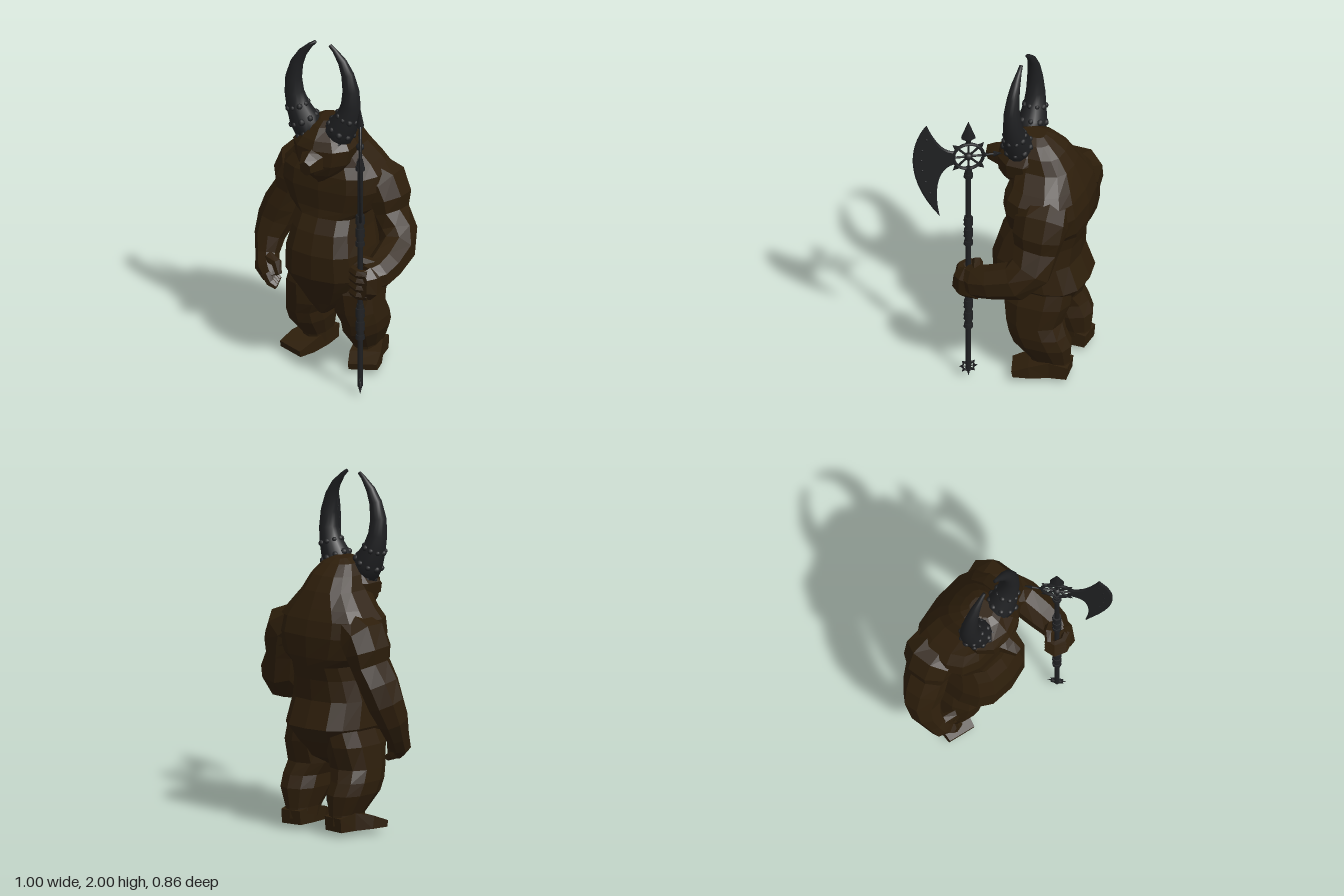
import * as THREE from 'three';

const mat = (name, color) => {
  const m = new THREE.MeshStandardMaterial({ color });
  m.name = name;
  return m;
};
const V = (x, y, z) => new THREE.Vector3(x, y, z);

export function createModel() {
  const fur = mat('dark brown fur', 0x2d1e0b);
  const horn = mat('black horn', 0x1e1f21);
  const iron = mat('black iron', 0x1f2022);
  const model = new THREE.Group();

  const add = (parent, name, geo, material, x = 0, y = 0, z = 0) => {
    const mesh = new THREE.Mesh(geo, material);
    mesh.name = name;
    mesh.position.set(x, y, z);
    parent.add(mesh);
    return mesh;
  };

  // Skin a list of closed rings, capping both ends; faceted unless smooth
  function skin(rings, smooth = false) {
    const n = rings[0].length, idx = [];
    const pts = rings.flat();
    rings.slice(1).forEach((_, i) => {
      for (let j = 0; j < n; j++) {
        const a = i * n + j, b = i * n + (j + 1) % n;
        idx.push(a, a + n, b, b, a + n, b + n);
      }
    });
    const top = (rings.length - 1) * n;
    for (let j = 1; j < n - 1; j++) idx.push(0, j, j + 1, top, top + j + 1, top + j);
    let geo = new THREE.BufferGeometry().setFromPoints(pts);
    geo.setIndex(idx);
    if (!smooth) geo = geo.toNonIndexed();
    geo.computeVertexNormals();
    return geo;
  }

  // Horizontal sections, bottom to top: [y, centreX, halfWidth, zFront, zBack]
  function stack(sections, n, power) {
    const soft = v => Math.sign(v) * Math.pow(Math.abs(v), power);
    return skin(sections.map(([y, cx, w, zf, zb]) => Array.from({ length: n }, (_, j) => {
      const a = (j / n) * Math.PI * 2 + Math.PI / 2;
      return V(cx + w * soft(Math.cos(a)), y, (zf + zb) / 2 + (zf - zb) / 2 * soft(Math.sin(a)));
    })));
  }

  // Sections square to a path: [x, y, z, radiusAcross, radiusDeep]
  function frameAt(path, i, ref) {
    const p = path.map(q => V(q[0], q[1], q[2]));
    const t = p[Math.min(i + 1, p.length - 1)].clone().sub(p[Math.max(i - 1, 0)]).normalize();
    const u = ref.clone().addScaledVector(t, -ref.dot(t)).normalize();
    return { c: p[i], u, v: u.clone().cross(t) };
  }
  function limb(path, n = 8, ref = V(1, 0, 0), smooth = false) {
    return skin(path.map((q, i) => {
      const { c, u, v } = frameAt(path, i, ref);
      return Array.from({ length: n }, (_, j) => {
        const a = ((j + 0.5) / n) * Math.PI * 2;
        return c.clone().addScaledVector(u, q[3] * Math.cos(a)).addScaledVector(v, q[4] * Math.sin(a));
      });
    }), smooth);
  }

  // Body and hunched back
  add(model, 'torso', stack([
    [0.35, 0, 0.03, 0.0, -0.18], [0.42, 0, 0.12, 0.03, -0.31], [0.52, 0, 0.20, 0.075, -0.38],
    [0.60, 0, 0.25, 0.11, -0.43], [0.75, 0, 0.237, 0.115, -0.375], [0.87, 0, 0.21, 0.08, -0.385],
    [0.95, 0, 0.20, 0.035, -0.41], [1.0, 0, 0.26, 0.025, -0.42], [1.12, 0, 0.31, 0.035, -0.425],
    [1.21, 0, 0.30, 0.025, -0.405], [1.27, 0, 0.25, 0.0, -0.38], [1.36, 0, 0.17, 0.0, -0.34],
    [1.44, 0, 0.14, 0.0, -0.285], [1.5, 0, 0.10, -0.02, -0.215], [1.525, 0, 0.05, -0.06, -0.17],
  ], 14, 0.72), fur);

  // Head with brow, jaw and muzzle
  add(model, 'head', stack([
    [1.17, 0, 0.03, 0.03, -0.12], [1.23, 0, 0.12, 0.075, -0.2], [1.30, 0, 0.17, 0.10, -0.2],
    [1.39, 0, 0.187, 0.10, -0.2], [1.44, 0, 0.15, 0.075, -0.2], [1.50, 0, 0.08, 0.02, -0.18],
    [1.525, 0, 0.04, -0.03, -0.13],
  ], 10, 0.95), fur);
  add(model, 'muzzle', limb([
    [-0.005, 1.325, 0.05, 0.09, 0.085], [-0.005, 1.32, 0.12, 0.06, 0.068], [-0.005, 1.31, 0.17, 0.037, 0.048],
  ], 6), fur);

  // Legs, feet and horns, mirrored
  for (const s of [1, -1]) {
    const side = s > 0 ? 'left' : 'right';
    add(model, side + 'Leg', stack([
      [0.06, 0.16 * s, 0.07, -0.16, -0.375], [0.12, 0.16 * s, 0.072, -0.14, -0.375],
      [0.23, 0.17 * s, 0.11, -0.045, -0.385], [0.30, 0.175 * s, 0.113, -0.02, -0.355],
      [0.37, 0.155 * s, 0.128, 0.0, -0.325], [0.50, 0.15 * s, 0.12, 0.02, -0.37],
      [0.62, 0.12 * s, 0.11, 0.0, -0.38],
    ], 10, 0.8), fur);
    add(model, side + 'Foot', limb([
      [0.155 * s, 0.068, -0.37, 0.09, 0.056], [0.165 * s, 0.078, -0.26, 0.105, 0.07],
      [0.20 * s, 0.064, -0.15, 0.125, 0.052], [0.23 * s, 0.046, -0.06, 0.115, 0.026],
    ], 4), fur);

    const path = [
      [0.085, 1.44, -0.045, 0.077, 0.088], [0.12, 1.50, -0.042, 0.082, 0.085],
      [0.16, 1.58, -0.04, 0.064, 0.066], [0.18, 1.66, -0.037, 0.054, 0.055],
      [0.182, 1.75, -0.033, 0.045, 0.047], [0.162, 1.84, -0.033, 0.035, 0.037],
      [0.127, 1.91, -0.035, 0.026, 0.026], [0.077, 1.968, -0.037, 0.014, 0.014],
      [0.046, 1.994, -0.037, 0.010, 0.010],
    ].map(([x, ...rest]) => [x * s - 0.011, ...rest]);
    add(model, side + 'Horn', limb(path, 14, V(0, 0, 1), true), horn);

    // Knobbly crust around the horn base
    for (let i = 0; i < 3; i++) {
      const { c, u, v } = frameAt(path, i, V(0, 0, 1));
      for (let j = 0; j < 9; j++) {
        const a = (j + (i % 2) / 2) / 9 * Math.PI * 2, r = path[i][3] * 0.93;
        const p = c.clone().addScaledVector(u, r * Math.cos(a)).addScaledVector(v, r * Math.sin(a));
        add(model, side + 'HornKnob', new THREE.IcosahedronGeometry(0.018 - i * 0.002 + (j % 3) * 0.002, 1),
          horn, p.x, p.y, p.z);
      }
    }
  }

  // Shoulder and upper arm shared by both arms
  const upperArm = s => [
    [0.17, 1.175, -0.24, 0.10, 0.135], [0.27, 1.12, -0.245, 0.13, 0.155],
    [0.30, 1.05, -0.24, 0.118, 0.15], [0.315, 0.97, -0.235, 0.092, 0.132], [0.365, 0.86, -0.22, 0.105, 0.125],
  ].map(([x, ...rest]) => [x * s, ...rest]);

  // Left arm, bent forward to grip the shaft
  add(model, 'leftArm', limb([
    ...upperArm(1), [0.405, 0.785, -0.14, 0.102, 0.115],
    [0.41, 0.745, 0.0, 0.098, 0.1], [0.405, 0.72, 0.09, 0.085, 0.095], [0.38, 0.715, 0.15, 0.065, 0.08],
  ]), fur);
  add(model, 'leftPalm', limb([
    [0.42, 0.70, 0.08, 0.055, 0.09], [0.405, 0.695, 0.16, 0.06, 0.1], [0.385, 0.70, 0.21, 0.04, 0.08],
  ], 6), fur);
  for (let i = 0; i < 4; i++) {
    const y = 0.63 + i * 0.043;
    add(model, 'leftFinger', limb([
      [0.40, y, 0.185, 0.026, 0.028], [0.35, y, 0.20, 0.026, 0.026],
      [0.30, y, 0.175, 0.025, 0.024], [0.295, y, 0.12, 0.02, 0.02],
    ], 6, V(0, 1, 0)), fur);
  }
  add(model, 'leftThumb', limb([
    [0.39, 0.78, 0.09, 0.035, 0.035], [0.33, 0.80, 0.11, 0.03, 0.03], [0.295, 0.77, 0.14, 0.02, 0.02],
  ], 6, V(0, 1, 0)), fur);

  // Right arm, hanging
  add(model, 'rightArm', limb([
    ...upperArm(-1), [-0.40, 0.76, -0.205, 0.105, 0.11],
    [-0.42, 0.66, -0.165, 0.085, 0.095], [-0.41, 0.57, -0.12, 0.065, 0.075],
    [-0.39, 0.51, -0.085, 0.07, 0.065], [-0.35, 0.46, -0.065, 0.05, 0.055],
  ]), fur);
  for (let i = 0; i < 4; i++) {
    const z = -0.11 + i * 0.03, x = 0.01 * i;
    add(model, 'rightFinger', limb([
      [-0.395 + x, 0.50, z, 0.024, 0.03], [-0.365 + x, 0.45, z, 0.024, 0.028],
      [-0.325 + x, 0.43, z, 0.016, 0.018],
    ], 6, V(0, 0, 1)), fur);
  }
  add(model, 'rightThumb', limb([
    [-0.38, 0.57, -0.08, 0.035, 0.035], [-0.315, 0.56, -0.055, 0.03, 0.032], [-0.295, 0.50, -0.045, 0.02, 0.02],
  ], 6, V(0, 0, 1)), fur);

  // Pole axe, turned about its shaft
  const axe = new THREE.Group();
  axe.name = 'poleAxe';
  axe.position.set(0.34, 0, 0.16);
  axe.rotation.y = -Math.PI / 3;
  model.add(axe);
  add(axe, 'shaft', new THREE.CylinderGeometry(0.015, 0.015, 1.4, 10), iron, 0, 0.75, 0);

  // Banded grips and collar
  for (const [y0, count] of [[0.355, 8], [0.93, 7], [1.395, 2]]) {
    for (let i = 0; i < count; i++) {
      const r = i % 3 === 1 ? 0.021 : 0.027;
      add(axe, 'gripBand', new THREE.CylinderGeometry(r * 0.92, r, 0.025, 8), iron, 0, y0 + i * 0.027, 0);
    }
  }

  // Spoked wheel with flat arrowhead points
  function wheel(name, y, radius, tube, reach) {
    const g = new THREE.Group();
    g.name = name;
    g.position.y = y;
    axe.add(g);
    add(g, 'rim', new THREE.TorusGeometry(radius, tube, 6, 24), iron);
    add(g, 'hub', new THREE.SphereGeometry(radius * 0.28, 10, 8), iron);
    for (let i = 0; i < 8; i++) {
      const arm = new THREE.Group();
      arm.rotation.z = i * Math.PI / 4;
      g.add(arm);
      add(arm, 'spoke', new THREE.CylinderGeometry(tube * 0.65, tube * 0.65, reach, 6), iron, 0, reach / 2, 0);
      add(arm, 'arrowhead', new THREE.ConeGeometry(tube * 1.8, tube * 3.5, 4), iron, 0, reach, 0).scale.z = 0.5;
    }
  }
  wheel('headWheel', 1.525, 0.084, 0.010, 0.108);
  wheel('buttWheel', 0.07, 0.032, 0.005, 0.045);
  add(axe, 'buttSpike', new THREE.ConeGeometry(0.012, 0.05, 6), iron, 0, 0.025, 0).rotation.x = Math.PI;
  const longPoint = new THREE.Group();
  longPoint.name = 'longPoint';
  longPoint.position.y = 1.525;
  longPoint.rotation.z = Math.PI / 2;
  axe.add(longPoint);
  add(longPoint, 'longSpoke', new THREE.CylinderGeometry(0.006, 0.006, 0.08, 6), iron, 0, 0.125, 0);
  add(longPoint, 'longArrow', new THREE.ConeGeometry(0.022, 0.05, 4), iron, 0, 0.165, 0).scale.z = 0.5;
  add(axe, 'topSpike', new THREE.LatheGeometry([[0.001, 1.61], [0.014, 1.62], [0.016, 1.635], [0.045, 1.655], [0.001, 1.765]]
    .map(p => new THREE.Vector2(...p)), 6), iron).scale.z = 0.5;

  // Crescent blade with rivets
  const shape = new THREE.Shape();
  shape.moveTo(0.08, 1.57);
  shape.quadraticCurveTo(0.16, 1.57, 0.235, 1.765);
  shape.bezierCurveTo(0.33, 1.65, 0.37, 1.42, 0.16, 1.13);
  shape.bezierCurveTo(0.19, 1.27, 0.19, 1.46, 0.08, 1.48);
  const blade = new THREE.ExtrudeGeometry(shape, {
    depth: 0.006, bevelSize: 0.008, bevelOffset: -0.008, bevelThickness: 0.005, bevelSegments: 1, curveSegments: 14,
  });
  add(axe, 'blade', blade, iron, 0, 0, -0.003);
  for (const [x, y] of [[0.235, 1.67], [0.26, 1.6], [0.265, 1.53], [0.26, 1.46], [0.24, 1.38], [0.215, 1.3]])
    add(axe, 'rivet', new THREE.SphereGeometry(0.011, 8, 6), iron, x, y, 0);
  return model;
}
